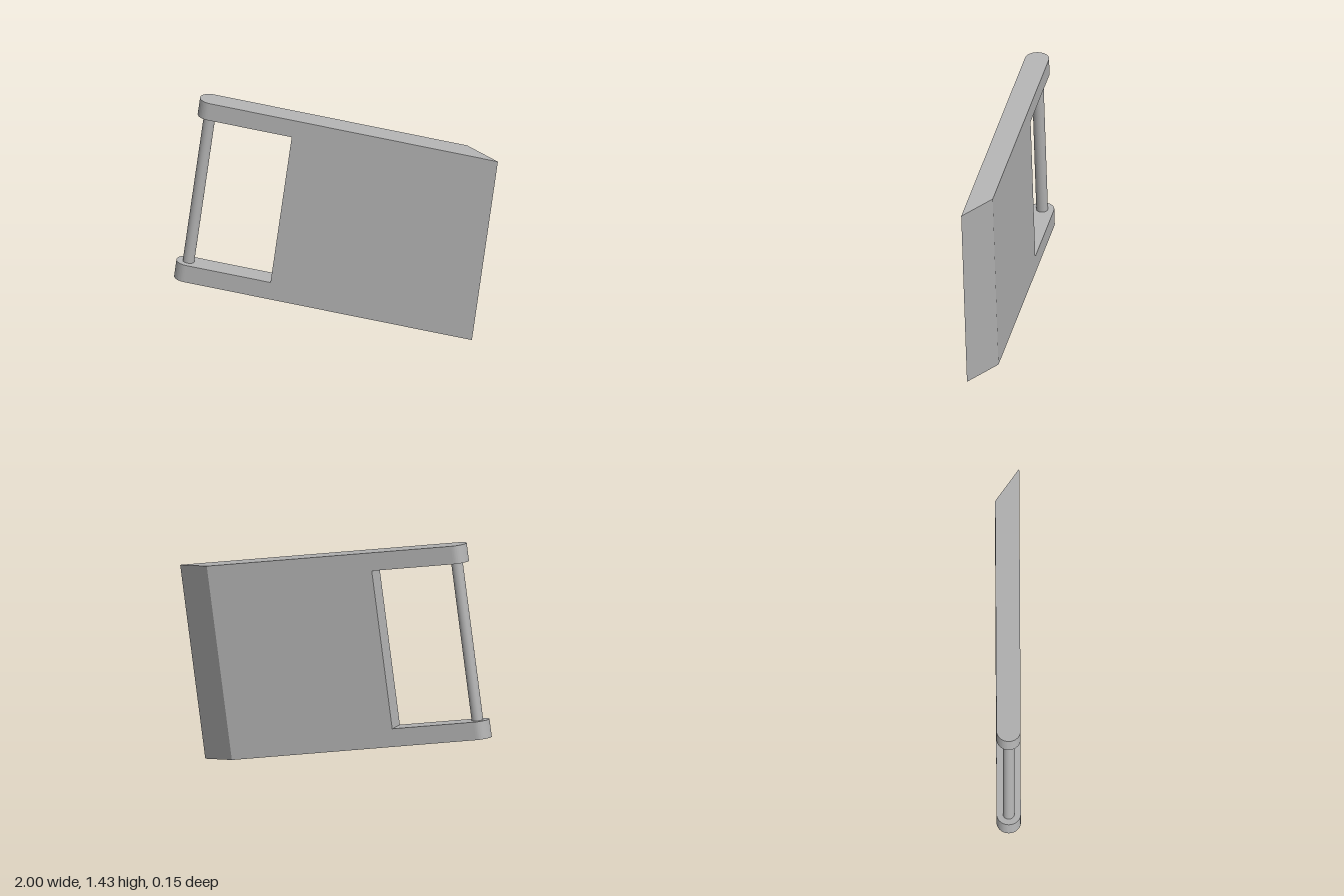
import * as THREE from 'three';
import { toCreasedNormals } from 'three/addons/utils/BufferGeometryUtils.js';

const HALF = 0.073;      // half thickness of the plate
const LENGTH = 1.854;    // along the long edge
const HEIGHT = 1.187;    // along the pin
const ARM = 0.11;        // arm height
const INNER = 0.594;     // where the arms meet the plate
const BEVEL = 0.219;     // set-back of the slanted end

// Raise a plan outline (x, -z) upward by the given height
function raise(shape, height) {
  const geometry = new THREE.ExtrudeGeometry(shape, { depth: height, bevelEnabled: false, curveSegments: 32 });
  geometry.rotateX(-Math.PI / 2);
  return toCreasedNormals(geometry, Math.PI / 6);
}

export function createModel() {
  const model = new THREE.Group();
  model.name = 'hingedPlate';
  const grey = new THREE.MeshStandardMaterial({ color: 0xb3b3b3 });
  grey.name = 'grey';

  const add = (name, geometry, x, y) => {
    const mesh = new THREE.Mesh(geometry, grey);
    mesh.name = name;
    mesh.position.set(x, y, 0);
    tilted.add(mesh);
  };

  // Everything is built square, then leaned over as one
  const tilted = new THREE.Group();
  tilted.name = 'tiltedAssembly';
  tilted.position.set(-1, 0.25, 0);
  tilted.rotation.z = -0.1347;
  model.add(tilted);

  // Main plate with one slanted end
  const plate = new THREE.Shape();
  plate.moveTo(INNER, -HALF);
  plate.lineTo(LENGTH, -HALF);
  plate.lineTo(LENGTH - BEVEL, HALF);
  plate.lineTo(INNER, HALF);
  plate.closePath();
  add('plate', raise(plate, HEIGHT), 0, 0);

  // Two round-ended arms
  const arm = new THREE.Shape();
  arm.moveTo(INNER, HALF);
  arm.lineTo(HALF, HALF);
  arm.absarc(HALF, 0, HALF, Math.PI / 2, Math.PI * 1.5, false);
  arm.lineTo(INNER, -HALF);
  arm.closePath();
  add('lowerArm', raise(arm, ARM), 0, 0);
  add('upperArm', raise(arm, ARM), 0, HEIGHT - ARM);

  // Pin between the arms, its ends sunk into them
  const pinLength = HEIGHT - ARM;
  add('pin', new THREE.CylinderGeometry(0.035, 0.035, pinLength, 32), HALF, HEIGHT / 2);

  return model;
}
